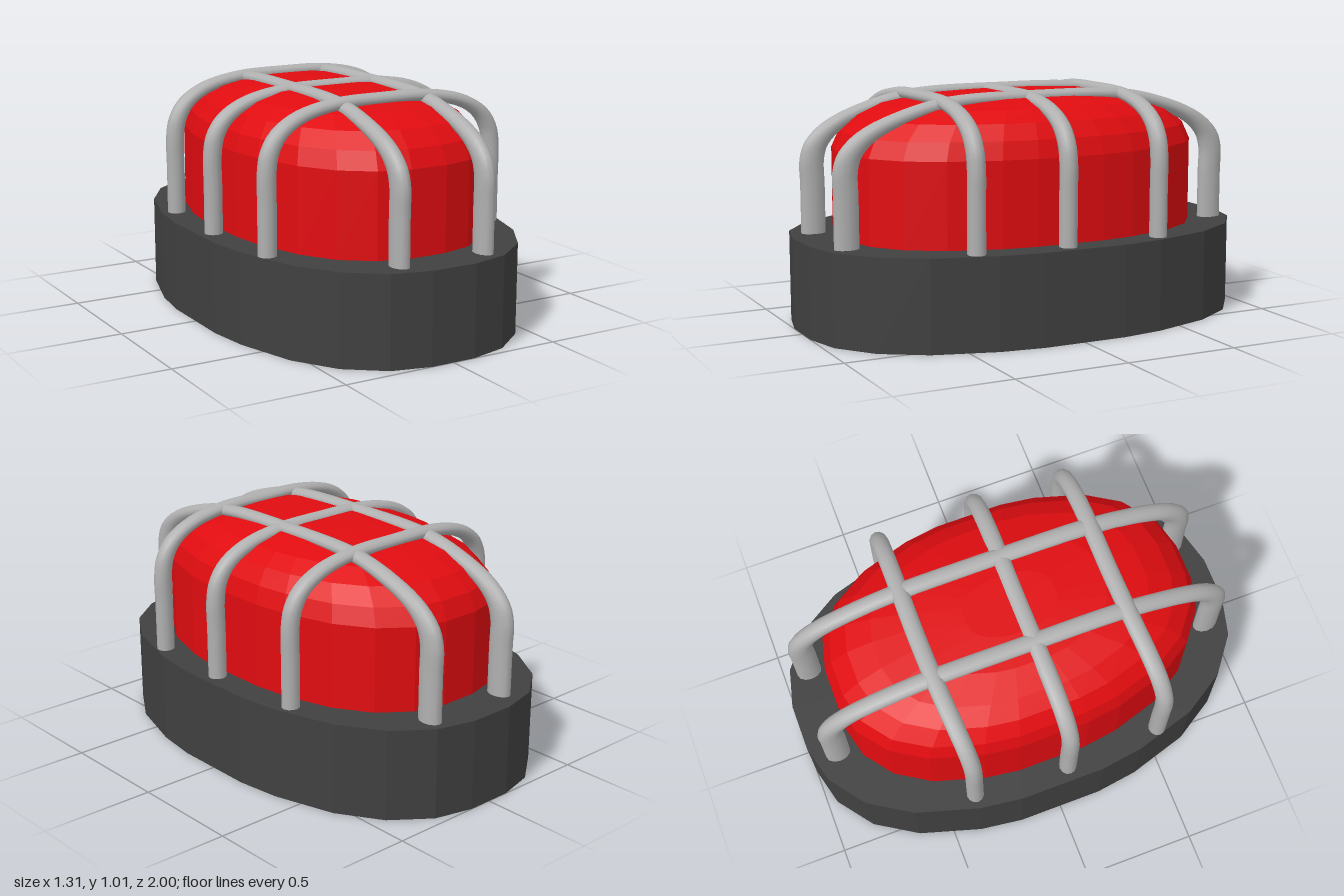
import * as THREE from 'three';

// Quarter of the faceted oval outline (x, z), mirrored into a full loop
const QUARTER = [[0.655, 0.19], [0.629, 0.38], [0.548, 0.65], [0.431, 0.836], [0.272, 0.957], [0.103, 1]];

function ovalOutline() {
  const half = [...QUARTER, ...QUARTER.map(([x, z]) => [-x, z]).reverse()];
  return [...half, ...half.map(([x, z]) => [-x, -z])];
}

// Stack of scaled oval rings, closed at top and bottom; rings = [scale, y]
function ovalSolid(rings) {
  const outline = ovalOutline(), n = outline.length;
  const pos = [], idx = [];
  for (const [s, y] of rings) for (const [x, z] of outline) pos.push(x * s, y, z * s);
  for (let r = 0; r < rings.length - 1; r++) {
    for (let i = 0; i < n; i++) {
      const a = r * n + i, b = r * n + (i + 1) % n;
      idx.push(a, a + n, b, b, a + n, b + n);
    }
  }
  const bottom = pos.length / 3, top = bottom + 1, last = (rings.length - 1) * n;
  pos.push(0, rings[0][1], 0, 0, rings[rings.length - 1][1], 0);
  for (let i = 0; i < n; i++) {
    const j = (i + 1) % n;
    idx.push(bottom, i, j, top, last + j, last + i);
  }
  const geo = new THREE.BufferGeometry();
  geo.setAttribute('position', new THREE.Float32BufferAttribute(pos, 3));
  geo.setIndex(idx);
  geo.computeVertexNormals();
  return geo;
}

// Round tube squashed to an oval section by the given axis scale
function wire(points, scale) {
  const curve = new THREE.CatmullRomCurve3(points.map(p => p.clone().divide(scale)), false, 'centripetal');
  return new THREE.TubeGeometry(curve, 72, 0.038, 12).scale(scale.x, scale.y, scale.z);
}

// Wire arch profiles: [fraction of half span, y], from foot to crown
const LONG = [[1, 0.395], [1, 0.6], [1, 0.72], [0.97, 0.79], [0.88, 0.86], [0.72, 0.92], [0.47, 0.972], [0, 0.983]];
const CROSS = [[1, 0.395], [1, 0.6], [1, 0.74], [0.97, 0.82], [0.88, 0.89], [0.7, 0.945], [0.4, 0.978], [0, 0.983]];
const bothSides = half => [...half.map(([f, y]) => [-f, y]), ...half.slice(0, -1).reverse()];

export function createModel() {
  const group = new THREE.Group();
  const add = (name, geo, material) => {
    const mesh = new THREE.Mesh(geo, material);
    mesh.name = name;
    group.add(mesh);
  };
  const dark = new THREE.MeshStandardMaterial({ color: 0x404040, flatShading: true });
  const red = new THREE.MeshStandardMaterial({ color: 0xe00c10, flatShading: true });
  const metal = new THREE.MeshStandardMaterial({ color: 0xb0b0b0, side: THREE.DoubleSide });

  // Housing and lens
  add('base', ovalSolid([[1, 0], [1, 0.395]]), dark);
  add('lensDome', ovalSolid([[0.81, 0.39], [0.81, 0.76], [0.775, 0.835], [0.7, 0.9], [0.59, 0.947], [0.41, 0.98], [0.2, 0.99]]), red);

  // Two lengthwise guard wires: x at back, middle and front
  for (const [back, mid, front] of [[-0.172, -0.188, -0.183], [0.235, 0.22, 0.222]]) {
    const pts = bothSides(LONG).map(([f, y]) => {
      const x = mid + ((f < 0 ? back : front) - mid) * f * f;
      return new THREE.Vector3(x, y, f * 0.877);
    });
    add('lengthwiseGuardWire', wire(pts, new THREE.Vector3(1, 0.7, 1.45)), metal);
  }

  // Three crosswise guard wires: half span, then z at left, middle and right ends
  for (const [span, a, mid, b] of [
    [0.56, -0.375, -0.412, -0.405],
    [0.585, 0.05, 0.037, 0.045],
    [0.56, 0.485, 0.445, 0.45],
  ]) {
    const pts = bothSides(CROSS).map(([f, y]) => {
      const z = mid + ((f < 0 ? a : b) - mid) * f * f;
      return new THREE.Vector3(f * span, y, z);
    });
    add('crosswiseGuardWire', wire(pts, new THREE.Vector3(1.05, 0.7, 1)), metal);
  }
  return group;
}
